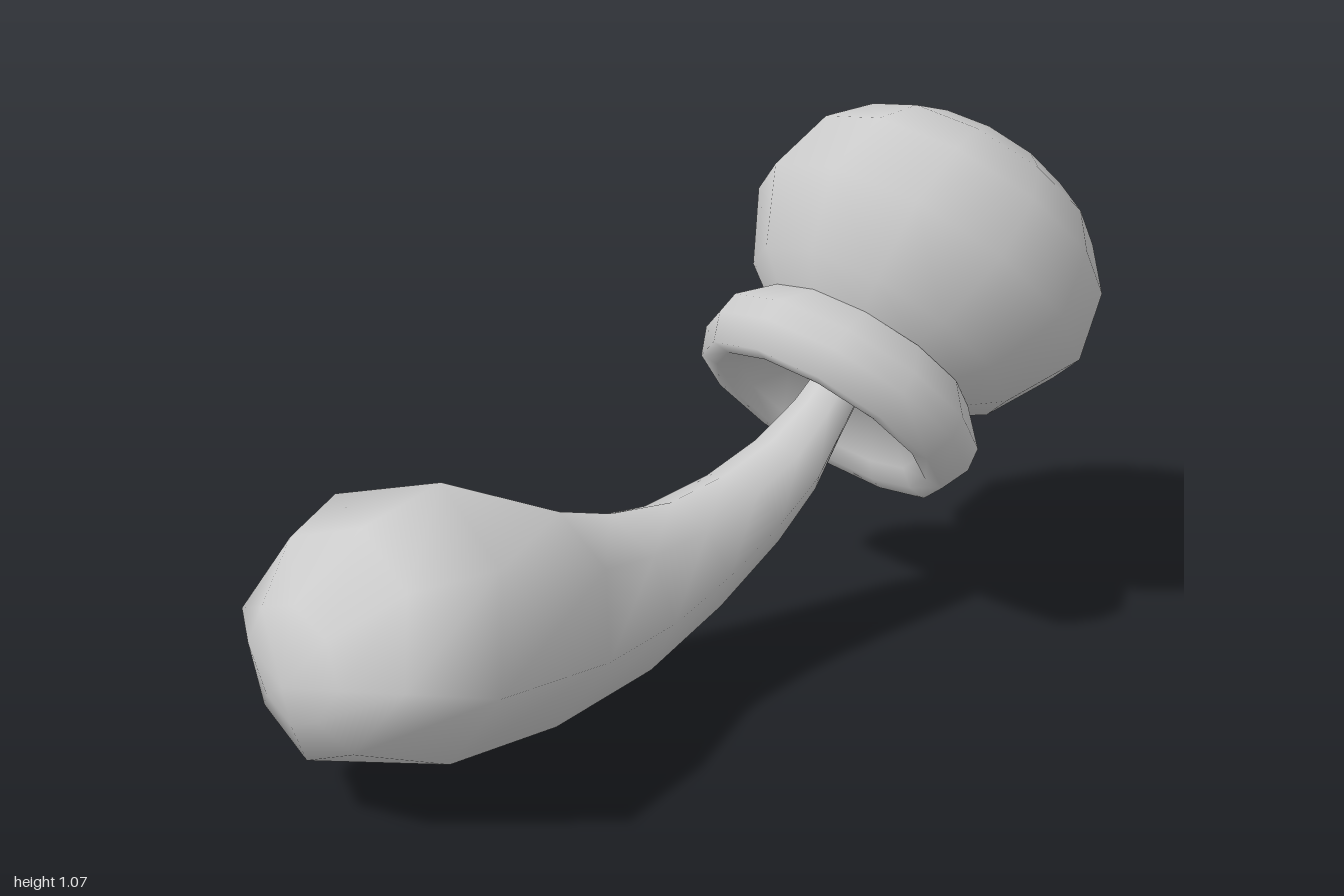
import * as THREE from 'three';
import { mergeVertices } from 'three/addons/utils/BufferGeometryUtils.js';

const grey = new THREE.MeshStandardMaterial({ color: 0xcccccc, side: THREE.DoubleSide });

function part(name, geometry) {
  const mesh = new THREE.Mesh(geometry, grey);
  mesh.name = name;
  return mesh;
}

// Lathe from [radius, height] pairs
function turned(name, profile) {
  const points = profile.map(([r, h]) => new THREE.Vector2(r, h));
  return part(name, new THREE.LatheGeometry(points, 12));
}

// Each section: top z, top y, bottom z, bottom y, half width, forward bulge of the sides
const sections = [
  [-0.40, 0.57, -0.45, 0.48, 0.06, 0],
  [-0.32, 0.50, -0.39, 0.41, 0.07, 0],
  [-0.22, 0.44, -0.31, 0.31, 0.09, 0],
  [-0.09, 0.40, -0.20, 0.22, 0.105, 0],
  [0.06, 0.38, -0.02, 0.12, 0.13, 0],
  [0.22, 0.40, 0.20, 0.04, 0.175, 0],
  [0.35, 0.44, 0.49, 0.005, 0.225, 0],
  [0.63, 0.575, 0.75, 0.045, 0.35, 0.09],
  [0.81, 0.535, 0.955, 0.12, 0.25, 0.03],
  [0.965, 0.43, 0.985, 0.20, 0.14, 0],
  [1.0, 0.28, 1.0, 0.28, 0, 0],
];

// Curved handle skinned over eight-sided sections
function handleGeometry() {
  const sides = 8, positions = [], index = [];
  sections.forEach(([tz, ty, bz, by, width, bulge], i) => {
    for (let j = 0; j < sides; j++) {
      const a = (j / sides) * Math.PI * 2;
      const c = Math.cos(a), s = Math.sin(a);
      const narrow = s < -0.1 ? 0.78 : 1; // the underside is slimmer
      positions.push(
        width * c * narrow,
        (ty + by) / 2 + s * (ty - by) / 2,
        (tz + bz) / 2 + s * (tz - bz) / 2 + bulge * c * c);
      if (i === sections.length - 1) continue;
      const p = i * sides + j, q = i * sides + (j + 1) % sides;
      index.push(p, q, p + sides, q, q + sides, p + sides);
    }
  });
  let geometry = new THREE.BufferGeometry();
  geometry.setAttribute('position', new THREE.Float32BufferAttribute(positions, 3));
  geometry.setIndex(index);
  geometry = mergeVertices(geometry);
  geometry.computeVertexNormals();
  return geometry;
}

export function createModel() {
  const model = new THREE.Group();
  model.name = 'model';

  // Tilted top: rounded head on a hollow-bottomed collar
  const top = new THREE.Group();
  top.name = 'top';
  top.position.set(0, 0.49, -0.40);
  top.rotation.x = -0.82;
  const head = turned('head', [
    [0.21, 0.09], [0.23, 0.12], [0.295, 0.17], [0.375, 0.325], [0.343, 0.476],
    [0.274, 0.563], [0.19, 0.614], [0.095, 0.646], [0, 0.657],
  ]);
  head.scale.x = 1.066;
  const collar = turned('collar', [
    [0, 0.03], [0.14, 0.025], [0.2, -0.035], [0.235, -0.06], [0.272, -0.06],
    [0.296, 0], [0.29, 0.05], [0.23, 0.12], [0.2, 0.13],
  ]);
  collar.scale.x = 1.11;
  top.add(head, collar);

  model.add(top, part('handle', handleGeometry()));
  return model;
}
